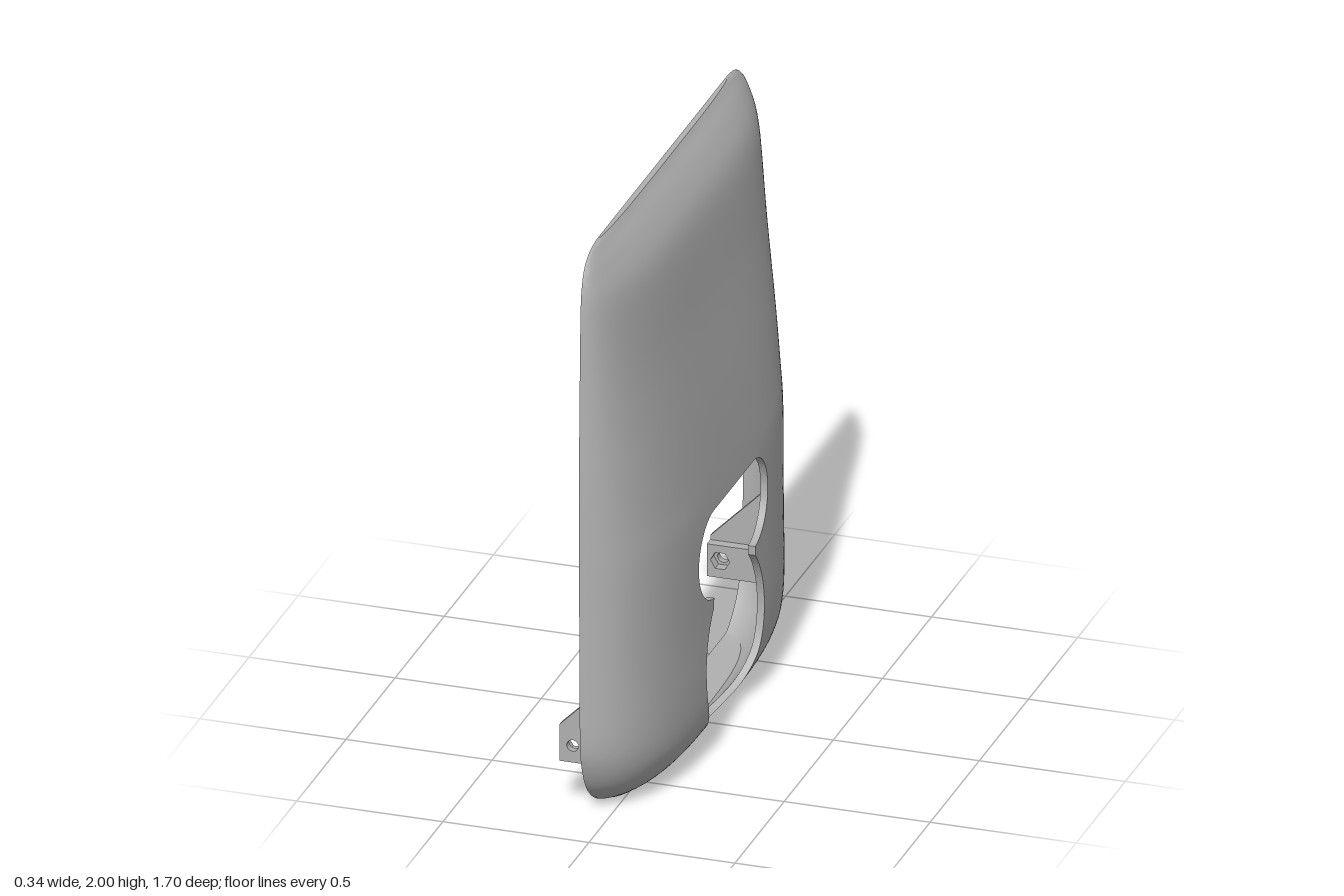
import * as THREE from 'three';
import { toCreasedNormals } from 'three/addons/utils/BufferGeometryUtils.js';

const BACK = -0.085; // plane of the open side
const spline = (pts) => new THREE.SplineCurve(pts.map(([a, b]) => new THREE.Vector2(a, b))).getPoints(160);

// half width by height, and front depth by height
const widths = spline([[0.67, 0], [0.725, 0.035], [0.78, 0.09], [0.82, 0.17], [0.838, 0.26], [0.842, 0.45],
  [0.846, 0.75], [0.85, 1.1], [0.845, 1.4], [0.836, 1.72], [0.83, 1.84], [0.815, 1.91], [0.79, 1.955], [0.74, 1.987], [0.67, 2]]);
const depths = spline([[0.05, 0], [0.09, 0.03], [0.125, 0.07], [0.15, 0.12], [0.164, 0.18], [0.168, 0.3], [0.164, 0.5],
  [0.16, 0.85], [0.147, 1], [0.125, 1.2], [0.087, 1.5], [0.066, 1.7], [0.052, 1.8], [0.03, 1.87], [-0.015, 1.94], [-0.05, 1.98], [-0.065, 2]]);

function lookup(table, y) {
  const i = Math.max(1, table.findIndex((p) => p.y >= y));
  if (y >= 2) return table[table.length - 1].x;
  const a = table[i - 1], b = table[i];
  return a.x + (b.x - a.x) * THREE.MathUtils.clamp((y - a.y) / (b.y - a.y || 1), 0, 1);
}

// outer skin: a rounded cross-section at each height
function skin(z, y) {
  const t = Math.min(1, Math.abs(z) / lookup(widths, y));
  return BACK + (lookup(depths, y) - BACK) * Math.sqrt(1 - t ** 3.8);
}

// inner skin: the same shape, a little smaller
const INZ = 0.972, INY0 = 0.012, INY = 0.984;
const innerSkin = (z, y) => BACK + (skin(z / INZ, THREE.MathUtils.clamp((y - INY0) / INY, 0, 2)) - BACK) * 0.9;

const mirrored = (half) => [...half, ...half.slice().reverse().map((p) => new THREE.Vector2(-p.x, p.y))];

function holeOutline() {
  const half = [];
  for (let i = 0; i <= 32; i++) { // round lower opening
    const a = -Math.PI / 2 + (i / 32) * (Math.PI / 2 + 0.775);
    half.push(new THREE.Vector2(0.294 * Math.cos(a), 0.312 + 0.294 * Math.sin(a)));
  }
  for (let i = 0; i <= 28; i++) { // wide upper opening
    const a = THREE.MathUtils.degToRad(-85 + (i / 28) * 175);
    half.push(new THREE.Vector2(0.195 + 0.155 * Math.cos(a), 0.705 + 0.155 * Math.sin(a)));
  }
  return mirrored(half);
}

// distance from the centre to a closed outline along a direction
const CY = 0.535;
function reach(outline, angle) {
  const dx = Math.cos(angle), dy = Math.sin(angle);
  let best = 0;
  outline.forEach((p, i) => {
    const q = outline[(i + 1) % outline.length];
    const ex = q.x - p.x, ey = q.y - p.y, px = p.x, py = p.y - CY;
    const det = ex * dy - ey * dx;
    if (Math.abs(det) < 1e-10) return;
    const r = (ex * py - ey * px) / det;
    const u = (dx * py - dy * px) / det;
    if (r > 0 && u >= -1e-6 && u <= 1 + 1e-6) best = Math.max(best, r);
  });
  return best;
}

function shellGeometry() {
  const hole = holeOutline();
  const outer = mirrored(widths);
  const inner = outer.map((p) => new THREE.Vector2(p.x * INZ, INY0 + p.y * INY));
  // directions: an even fan plus every corner of the opening and the rim
  let angles = [...hole, ...outer.filter((p, i) => i % 4 === 0), outer[160], outer[161]].map((p) => Math.atan2(p.y - CY, p.x));
  for (let i = 0; i < 180; i++) angles.push(-Math.PI + (i / 180) * Math.PI * 2);
  angles = angles.sort((a, b) => a - b).filter((a, i, all) => i === 0 || a - all[i - 1] > 1e-3);
  const N = 28, pos = [], index = [];
  for (const a of angles) {
    const c = Math.cos(a), s = Math.sin(a);
    const h = reach(hole, a), o = reach(outer, a), n = reach(inner, a);
    const put = (r, fn) => pos.push(fn(r * c, CY + r * s), CY + r * s, r * c);
    const ease = (k) => 1 - (1 - k / N) ** 2;
    for (let k = 0; k <= N; k++) put(h + (o - h) * ease(k), skin);
    put(o, () => BACK);
    put(n, () => BACK);
    for (let k = N; k >= 0; k--) put(h + (n - h) * ease(k), innerSkin);
  }
  const M = 2 * N + 4, A = angles.length;
  for (let j = 0; j < A; j++) {
    for (let i = 0; i < M; i++) {
      const j2 = (j + 1) % A, i2 = (i + 1) % M;
      const a = j * M + i, b = j2 * M + i, d = j * M + i2, e = j2 * M + i2;
      index.push(a, b, d, b, e, d);
    }
  }
  const g = new THREE.BufferGeometry();
  g.setAttribute('position', new THREE.Float32BufferAttribute(pos, 3));
  g.setIndex(index);
  return toCreasedNormals(g, 0.6);
}

// flat outline with one hole, extruded
function plate(points, hx, hy, r, depth, segments = 24) {
  const shape = new THREE.Shape(points.map(([x, y]) => new THREE.Vector2(x, y)));
  const path = new THREE.Path();
  path.absarc(hx, hy, r, 0, Math.PI * 2, true);
  shape.holes.push(path);
  return new THREE.ExtrudeGeometry(shape, { depth, bevelEnabled: false, curveSegments: segments });
}

export function createModel() {
  const model = new THREE.Group();
  const grey = new THREE.MeshStandardMaterial({ color: 0xb0b0b0 });
  const add = (parent, name, geometry) => {
    const mesh = new THREE.Mesh(geometry, grey);
    mesh.name = name;
    parent.add(mesh);
    return mesh;
  };

  add(model, 'coverShell', shellGeometry());

  // upper wedge lugs with a counterbored vertical screw hole
  for (const z of [-0.107, 0.102]) {
    const lug = new THREE.Group();
    lug.name = 'upperLug';
    const w = 0.0575;
    const box = (x1) => [[-0.175, -w], [x1, -w], [x1, w], [-0.175, w]];
    const wedge = plate(box(0.05), -0.12, 0, 0.04, 1).rotateX(-Math.PI / 2);
    const p = wedge.attributes.position;
    for (let i = 0; i < p.count; i++) p.setY(i, p.getY(i) > 0.5 ? 1.545 + p.getX(i) + 0.175 : 1.525);
    wedge.computeVertexNormals();
    add(lug, 'lugWedge', wedge);
    add(lug, 'lugFloor', plate(box(0.06), -0.12, 0, 0.02, 0.015).rotateX(-Math.PI / 2).translate(0, 1.51, 0));
    lug.position.z = z;
    model.add(lug);
  }

  // lower side tabs: thin gusset outside, block with a nut recess inside
  for (const side of [-1, 1]) {
    const tab = new THREE.Group();
    tab.name = 'lowerTab';
    const gusset = [[-0.175, 0.17], [0.01, 0.17], [0.01, 0.485], [-0.175, 0.3]];
    const block = [[-0.175, 0.17], [0, 0.17], [0, 0.285], [-0.175, 0.285]];
    add(tab, 'tabGusset', plate(gusset, -0.13, 0.23, 0.02, 0.025)).position.z = side > 0 ? 0.755 : -0.78;
    add(tab, 'tabBlock', plate(block, -0.13, 0.23, 0.033, 0.035, 3)).position.z = side > 0 ? 0.72 : -0.755;
    model.add(tab);
  }
  return model;
}
